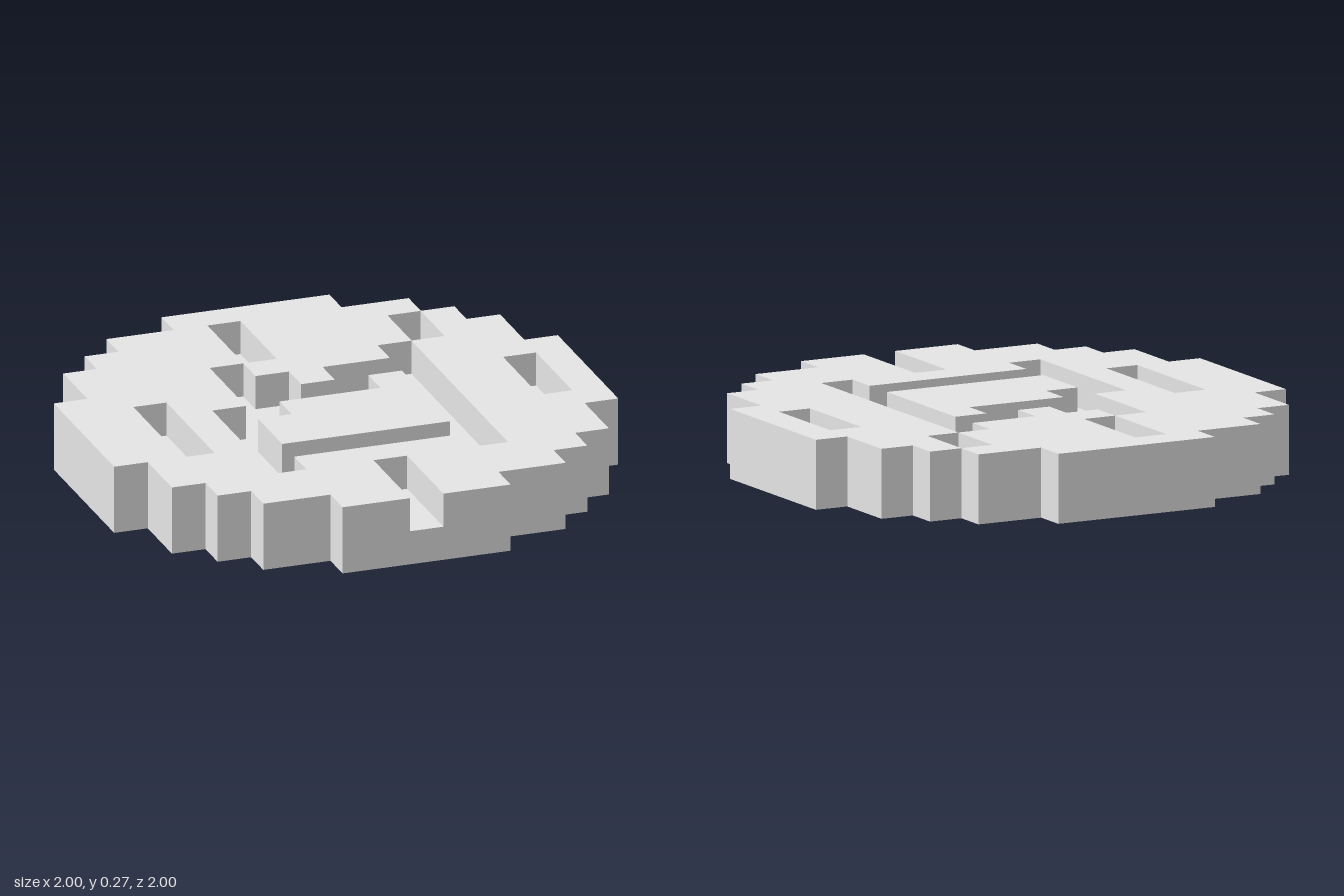
import * as THREE from 'three';

const UNIT = 2 / 15; // the disc is a 15 x 15 grid of cells, two cells thick

// Grid corner (column, row) to shape coordinates; rows run from back to front
const toPoint = ([col, row]) => new THREE.Vector2((col - 7.5) * UNIT, (7.5 - row) * UNIT);
const toPoints = (corners) => corners.map(toPoint);

// Closed pit, inset a hair so corners that meet diagonally stay separate
const pit = (c0, r0, c1, r1, e = 0.008) => [
  [c0 + e, r0 + e], [c1 - e, r0 + e], [c1 - e, r1 - e], [c0 + e, r1 - e],
];

// One-cell-thick horizontal plate; the outline runs counterclockwise seen from above
function plate(name, outline, holes, level, material) {
  const shape = new THREE.Shape(toPoints(outline));
  shape.holes = holes.map((hole) => new THREE.Path(toPoints(hole)));
  const geometry = new THREE.ExtrudeGeometry(shape, { depth: UNIT, bevelEnabled: false });
  geometry.rotateX(-Math.PI / 2);
  geometry.translate(0, level * UNIT, 0);
  const mesh = new THREE.Mesh(geometry, material);
  mesh.name = name;
  return mesh;
}

export function createModel() {
  const model = new THREE.Group();
  model.name = 'steppedDisc';
  const grey = new THREE.MeshStandardMaterial({ color: 0xe5e5e5 });
  grey.name = 'light grey';

  // Stepped round outline: half width, first row, end row
  const steps = [
    [2.5, 0, 1], [4.5, 1, 2], [5.5, 2, 3], [6.5, 3, 5], [7.5, 5, 10],
    [6.5, 10, 12], [5.5, 12, 13], [4.5, 13, 14], [2.5, 14, 15],
  ];
  const rightEdge = steps.flatMap(([half, a, b]) => [[7.5 - half, a], [7.5 - half, b]]);
  const leftEdge = rightEdge.map(([col, row]) => [15 - col, row]).reverse();

  // Channel open at the front rim
  const frontNotch = [[7, 15], [7, 12], [8, 12], [8, 15]];

  // Outer wall of the winding channel around the middle
  const channel = [
    [5, 4], [6, 4], [6, 5], [7, 5], [7, 6], [8, 6], [8, 5], [10, 5], [10, 4],
    [11, 4], [11, 12], [10, 12], [10, 11], [5, 11], [5, 12], [4, 12], [4, 7], [5, 7],
  ];

  // Raised block standing inside the channel
  const island = [
    [9, 6], [9, 7], [6, 7], [6, 8], [5, 8], [5, 10], [10, 10], [10, 6],
  ];

  const pits = [
    pit(6, 1, 7, 4),   // back
    pit(11, 2, 12, 4), // back left
    pit(2, 6, 3, 10),  // right side
    pit(13, 6, 14, 9), // left side
  ];

  model.add(
    plate('base', [...rightEdge, ...leftEdge], [], 0, grey),
    plate('carvedTop', [...rightEdge, ...frontNotch, ...leftEdge], [channel, ...pits], 1, grey),
    plate('centreIsland', island, [], 1, grey),
  );
  return model;
}
